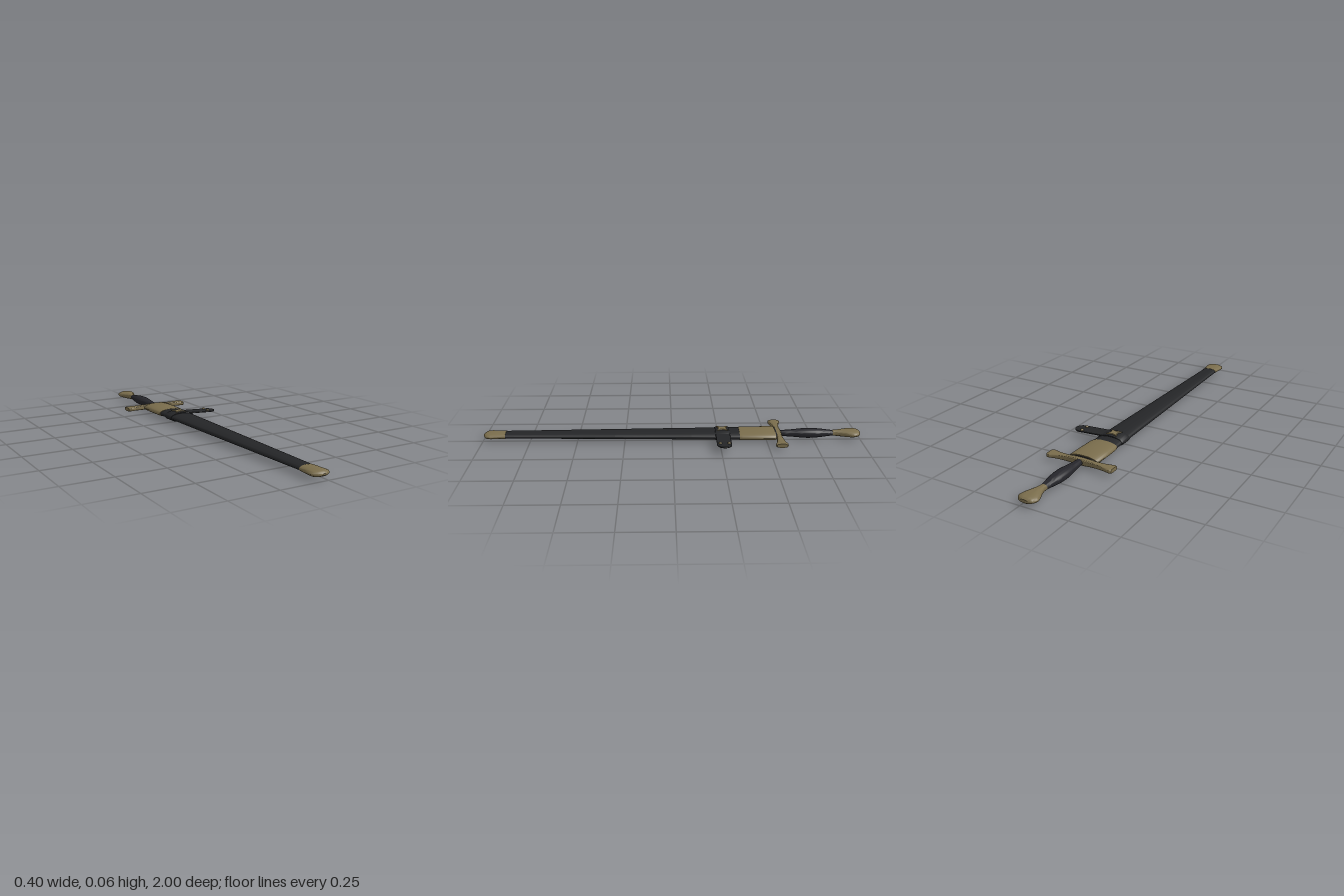
import * as THREE from 'three';
import { toCreasedNormals } from 'three/addons/utils/BufferGeometryUtils.js';

const CX = -0.023; // long axis of the weapon
const CY = 0.032;

const material = (name, color) => {
  const m = new THREE.MeshStandardMaterial({ color });
  m.name = name;
  return m;
};

// Loft along z through sections [z, halfWidth, halfHeight]; power 2 = ellipse, higher = boxier.
function loft(sections, power = 2, sides = 32) {
  const first = sections[0], last = sections[sections.length - 1];
  const rings = [[first[0], 0, 0], ...sections, [last[0], 0, 0]]; // closed ends
  const pos = [], index = [];
  const bend = (v) => Math.sign(v) * Math.pow(Math.abs(v), 2 / power);
  rings.forEach(([z, w, h]) => {
    for (let j = 0; j < sides; j++) {
      const a = (j / sides) * Math.PI * 2;
      pos.push(w * bend(Math.cos(a)), h * bend(Math.sin(a)), z);
    }
  });
  for (let i = 0; i < rings.length - 1; i++) {
    for (let j = 0; j < sides; j++) {
      const a = i * sides + j, b = i * sides + ((j + 1) % sides);
      if (i > 0) index.push(a, b, a + sides);
      if (i < rings.length - 2) index.push(b, b + sides, a + sides);
    }
  }
  const g = new THREE.BufferGeometry();
  g.setAttribute('position', new THREE.Float32BufferAttribute(pos, 3));
  g.setIndex(index);
  return toCreasedNormals(g, 0.7);
}

// Smooth a few sections into many with a spline.
function smooth(sections, steps = 24) {
  const curve = new THREE.CatmullRomCurve3(sections.map((s) => new THREE.Vector3(...s)));
  return curve.getPoints(steps).map((p) => [p.x, p.y, p.z]);
}

export function createModel() {
  const brass = material('aged brass', 0x7a6d4c);
  const leather = material('black leather', 0x242527);
  const wrap = material('dark grip', 0x25252a);

  const group = new THREE.Group();
  group.name = 'sheathedDagger';
  const add = (name, geometry, mat, x = CX, y = CY, z = 0) => {
    const m = new THREE.Mesh(geometry, mat);
    m.name = name;
    m.position.set(x, y, z);
    group.add(m);
    return m;
  };

  // Hilt
  add('pommel', loft(smooth([
    [-1.0, 0.022, 0.008], [-0.992, 0.037, 0.014], [-0.97, 0.05, 0.018], [-0.945, 0.046, 0.02],
    [-0.9, 0.026, 0.019], [-0.87, 0.018, 0.016], [-0.855, 0.018, 0.015],
  ])), brass);
  add('grip', loft(smooth([
    [-0.86, 0.017, 0.013], [-0.82, 0.024, 0.018], [-0.76, 0.033, 0.024], [-0.71, 0.034, 0.025],
    [-0.64, 0.025, 0.019], [-0.56, 0.016, 0.014],
  ])), wrap);

  // Crossguard, lofted sideways with flared ends
  const guard = add('crossguard', loft(smooth([
    [-0.18, 0.027, 0.01], [-0.172, 0.032, 0.011], [-0.13, 0.022, 0.012], [-0.07, 0.015, 0.014],
    [0, 0.017, 0.017],
    [0.07, 0.015, 0.014], [0.13, 0.022, 0.012], [0.172, 0.032, 0.011], [0.18, 0.027, 0.01],
  ], 40), 3.5), brass, CX, 0.031, -0.563);
  guard.rotation.y = Math.PI / 2;

  // Scabbard with its metal throat and chape
  add('scabbardMouth', loft([[-0.552, 0.068, 0.017], [-0.54, 0.068, 0.017]], 2.2), leather);
  add('throat', loft([
    [-0.545, 0.077, 0.021], [-0.54, 0.08, 0.023], [-0.44, 0.079, 0.023],
    [-0.37, 0.077, 0.023], [-0.355, 0.073, 0.022],
  ], 2.2), brass);
  add('scabbard', loft([
    [-0.36, 0.07, 0.021], [-0.1, 0.064, 0.02], [0.3, 0.054, 0.018], [0.89, 0.04, 0.014],
  ], 2.2), leather);
  add('chape', loft([
    [0.88, 0.042, 0.0155], [0.92, 0.044, 0.0165], [0.955, 0.049, 0.016], [0.97, 0.049, 0.015],
    [0.982, 0.041, 0.013], [0.991, 0.027, 0.009], [0.997, 0.01, 0.004],
  ], 2.2), brass);

  // Leather band around the scabbard
  add('band', loft([
    [-0.302, 0.071, 0.025], [-0.295, 0.073, 0.028], [-0.235, 0.072, 0.028], [-0.228, 0.069, 0.025],
  ]), leather);

  // Strap tail with a rounded end
  const r = 0.037;
  const tail = new THREE.Shape();
  tail.moveTo(-0.02, -r);
  tail.lineTo(0.163, -r);
  tail.absarc(0.163, 0, r, -Math.PI / 2, Math.PI / 2, false);
  tail.lineTo(-0.02, r);
  const tailGeo = new THREE.ExtrudeGeometry(tail, {
    depth: 0.004, bevelEnabled: true, bevelSize: 0.001, bevelThickness: 0.001, bevelSegments: 1, curveSegments: 12,
  });
  tailGeo.rotateX(-Math.PI / 2);
  // Ease the strap up onto the band near its root
  const p = tailGeo.attributes.position;
  for (let i = 0; i < p.count; i++) {
    if (p.getX(i) < 0.03) p.setY(i, p.getY(i) + 0.009);
  }
  tailGeo.computeVertexNormals();
  add('strapTail', tailGeo, leather, 0, 0.039, -0.265);

  // Studs on the strap
  [-0.289, -0.244].forEach((z) => {
    const stud = add('strapStud', new THREE.SphereGeometry(0.009, 12, 8), brass, 0.151, 0.046, z);
    stud.scale.y = 0.8;
  });

  // Four-pointed ornament, points on the diagonals
  const star = new THREE.Shape();
  for (let i = 0; i < 8; i++) {
    const a = (i / 8) * Math.PI * 2, rad = i % 2 ? 0.038 : 0.018;
    star[i ? 'lineTo' : 'moveTo'](Math.cos(a) * rad, Math.sin(a) * rad);
  }
  star.closePath();
  const starGeo = new THREE.ExtrudeGeometry(star, {
    depth: 0.006, bevelEnabled: true, bevelSize: 0.002, bevelThickness: 0.002, bevelSegments: 1,
  });
  starGeo.rotateX(-Math.PI / 2);
  add('starOrnament', starGeo, brass, CX - 0.002, 0.055, -0.265);

  return group;
}
